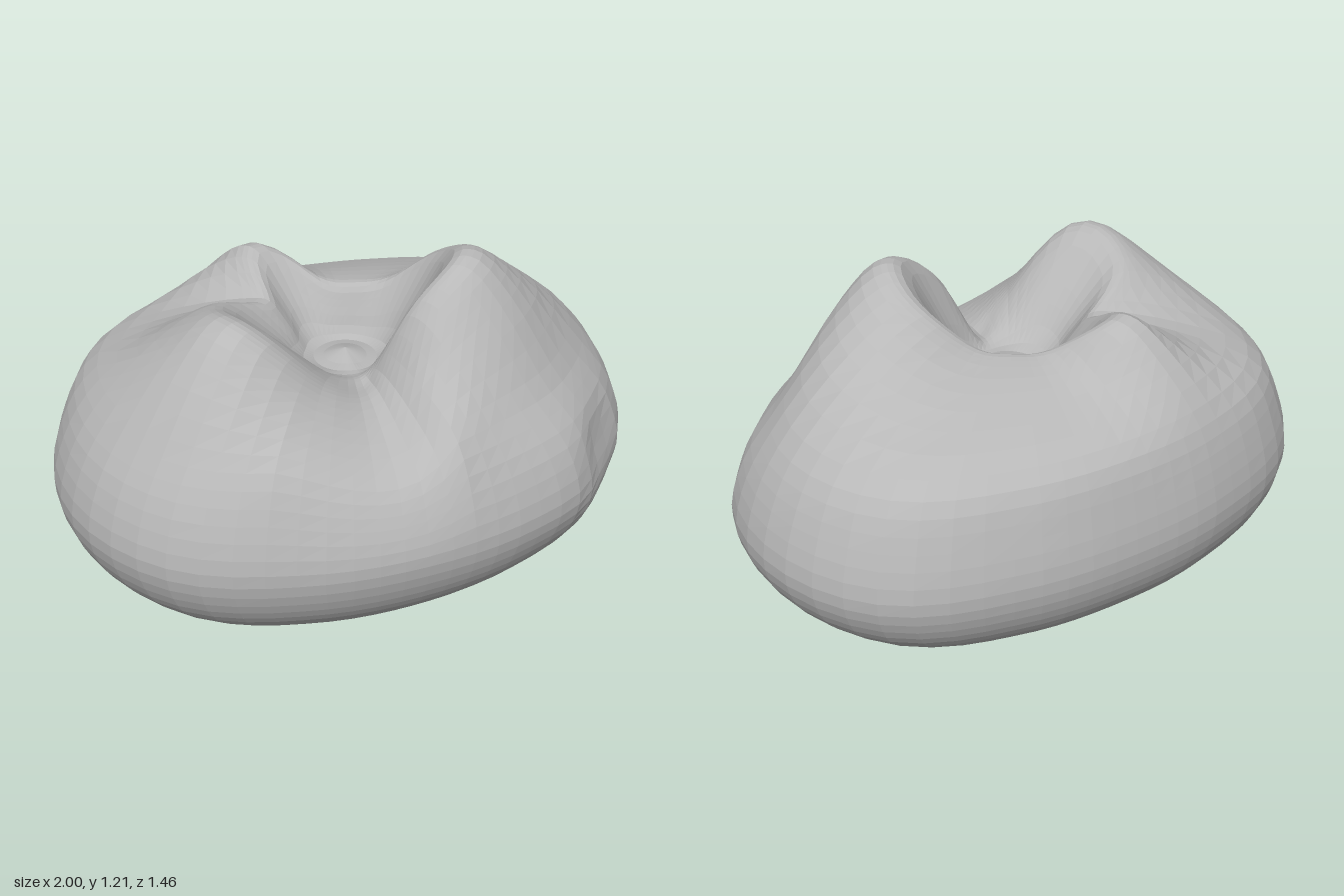
import * as THREE from 'three';

// One row per 30 degrees, from +x towards +z:
// belly radius, shoulder radius, rim radius, rim height
const SECTORS = [
  [1.00, 0.85, 0.37, 1.14],
  [0.92, 0.72, 0.39, 1.21],
  [0.78, 0.61, 0.31, 1.09],
  [0.73, 0.62, 0.25, 0.83],
  [0.79, 0.67, 0.36, 0.89],
  [0.94, 0.80, 0.50, 1.12],
  [1.00, 0.85, 0.46, 1.08],
  [0.96, 0.84, 0.29, 0.99],
  [0.80, 0.71, 0.40, 1.09],
  [0.735, 0.65, 0.26, 0.98],
  [0.80, 0.70, 0.23, 0.97],
  [0.97, 0.84, 0.27, 1.00],
];

// Smooth periodic interpolation between the sectors
function sectorAt(turn) {
  const n = SECTORS.length;
  const k = Math.floor(turn * n);
  const t = turn * n - k;
  const row = (i) => SECTORS[(k + i + n) % n];
  return SECTORS[0].map((_, c) => {
    const [a, b, d, e] = [row(-1)[c], row(0)[c], row(1)[c], row(2)[c]];
    return b + 0.5 * t * (d - a + t * (2 * a - 5 * b + 4 * d - e + t * (3 * (b - d) + e - a)));
  });
}

// Profile from the underside, over the rim, down into the hollow
function profileAt(turn) {
  const [belly, shoulder, rim, top] = sectorAt(turn);
  const shoulderY = Math.min(0.8, top - 0.13);
  const points = [
    [0, 0.003], [0.24 * belly, 0.005], [0.47 * belly, 0.035], [0.67 * belly, 0.1],
    [0.855 * belly, 0.2], [0.955 * belly, 0.31], [belly, 0.45],
    [belly * 0.7 + shoulder * 0.3, 0.45 + (shoulderY - 0.45) * 0.52],
    [shoulder, shoulderY],
    [shoulder * 0.5 + rim * 0.5, shoulderY + (top - shoulderY) * 0.65],
    [rim + 0.04, top - 0.01], [rim - 0.03, top - 0.01],
    [rim * 0.5 + 0.05, 0.81 + (top - 0.81) * 0.5],
    [0.12, 0.8], [0, 0.83],
  ];
  return new THREE.CatmullRomCurve3(points.map(([r, y]) => new THREE.Vector3(r, y, 0)));
}

function moundGeometry(around = 56, rows = 48) {
  const positions = [];
  const index = [];
  const dent = new THREE.Vector3(0.76, 0.51, 0.43);
  const p = new THREE.Vector3();
  for (let i = 0; i < around; i++) {
    const turn = i / around;
    const angle = turn * Math.PI * 2;
    const curve = profileAt(turn);
    for (let j = 0; j <= rows; j++) {
      const q = curve.getPoint(j / rows);
      const r = j === 0 || j === rows ? 0 : Math.max(q.x, 0);
      p.set(r * Math.cos(angle), q.y, r * Math.sin(angle));
      // underside lifts slightly towards +x
      if (j < rows / 2) p.y = Math.max(0, p.y + 0.025 * p.x * Math.max(0, 1 - p.y / 0.45));
      // shallow hollow in the front corner
      const push = 0.055 * Math.exp(-p.distanceToSquared(dent) / 0.022);
      p.x -= push * 0.8;
      p.z -= push * 0.6;
      positions.push(p.x, p.y, p.z);
    }
  }
  const id = (i, j) => (i % around) * (rows + 1) + j;
  for (let i = 0; i < around; i++) {
    for (let j = 0; j < rows; j++) {
      const a = id(i, j), up = id(i, j + 1), side = id(i + 1, j), far = id(i + 1, j + 1);
      if (j > 0) index.push(a, up, side);
      if (j < rows - 1) index.push(up, far, side);
    }
  }
  const geometry = new THREE.BufferGeometry();
  geometry.setAttribute('position', new THREE.Float32BufferAttribute(positions, 3));
  geometry.setIndex(index);
  geometry.computeVertexNormals();
  return geometry;
}

export function createModel() {
  const stone = new THREE.MeshStandardMaterial({ color: 0xb8b8b8, flatShading: true });
  stone.name = 'stone grey';
  const mound = new THREE.Mesh(moundGeometry(), stone);
  mound.name = 'hollowMound';
  const model = new THREE.Group();
  model.name = 'rock';
  model.add(mound);
  return model;
}
